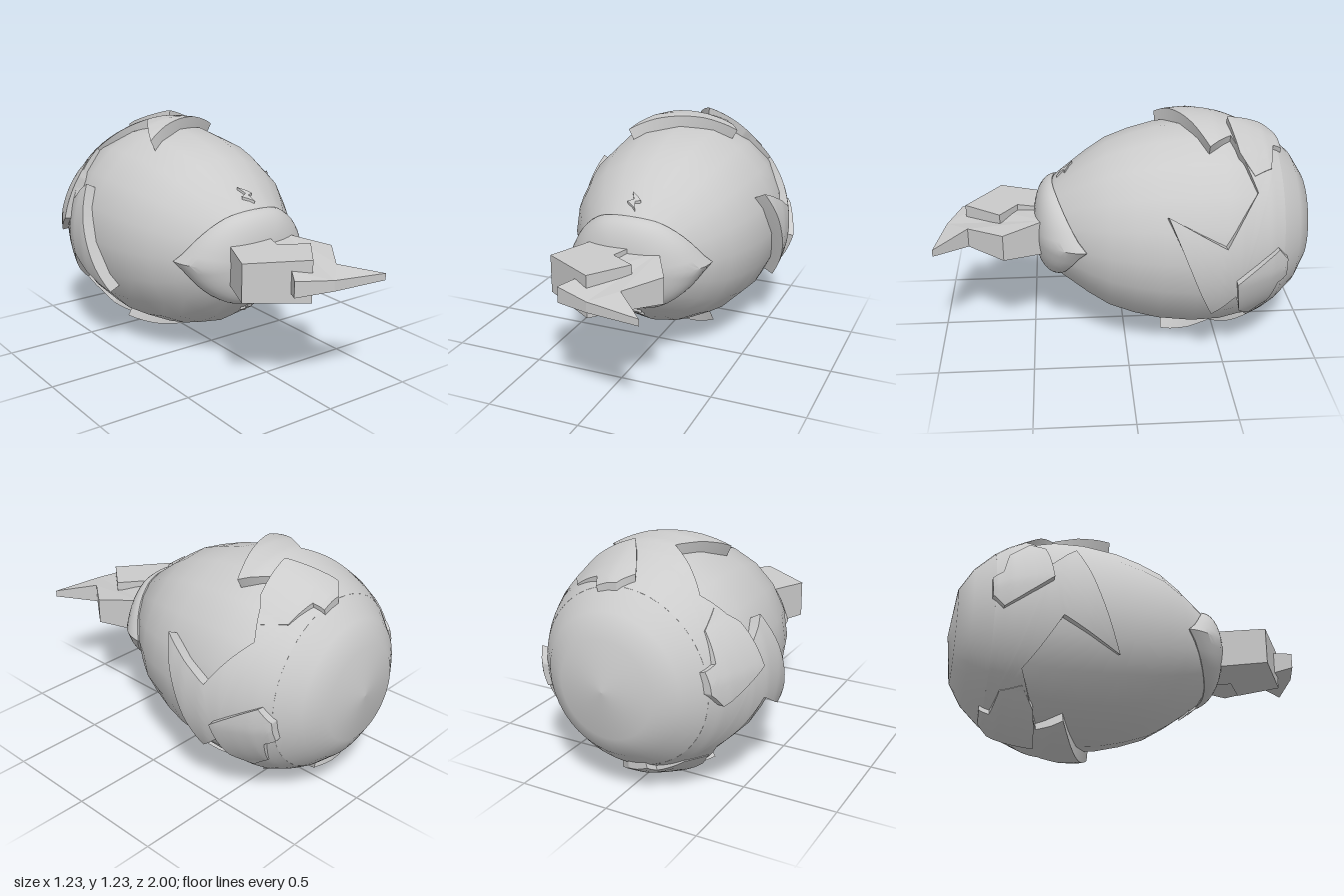
import * as THREE from 'three';
import { toCreasedNormals } from 'three/addons/utils/BufferGeometryUtils.js';

const CY = 0.62; // height of the long axis, which runs along z
const material = () => new THREE.MeshStandardMaterial({ color: 0xcccccc, side: THREE.DoubleSide });

// Profiles as [z, radius], from front to back
const BODY = [[0.47, 0], [0.45, 0.15], [0.36, 0.27], [0.2, 0.39], [0.09, 0.46], [-0.04, 0.507], [-0.17, 0.54],
  [-0.35, 0.56], [-0.5, 0.555], [-0.65, 0.522], [-0.8, 0.43], [-0.9, 0.3], [-0.96, 0]];
const SHELL = [[-0.19, 0.598], [-0.25, 0.61], [-0.35, 0.617], [-0.47, 0.605], [-0.56, 0.577], [-0.65, 0.54],
  [-0.73, 0.503], [-0.8, 0.458], [-0.9, 0.365], [-0.97, 0.25], [-1, 0]];

function radiusAt(profile, z) {
  for (let i = 1; i < profile.length; i++) {
    const [z0, r0] = profile[i - 1], [z1, r1] = profile[i];
    if (z >= z1) return z > z0 ? r0 : r0 + (r1 - r0) * (z0 - z) / (z0 - z1);
  }
  return 0;
}

function lathe(profile, segments) {
  const points = profile.map(([z, r]) => new THREE.Vector2(r, z)).reverse();
  return new THREE.LatheGeometry(points, segments).rotateX(Math.PI / 2).translate(0, CY, 0);
}

// Point at an angle from the top (degrees, towards +x) around the long axis
function around(deg, z, r) {
  const a = THREE.MathUtils.degToRad(deg);
  return [r * Math.sin(a), CY + r * Math.cos(a), z];
}

// Curved plate: an outline of [degrees, z] wrapped on a radius rule, with walls going inwards
function plate(outline, topRadius, lowRadius, turns, levels = 4) {
  const pos = [];
  const contour = outline.map(([a, z]) => new THREE.Vector2(a / 100, z));
  if (THREE.ShapeUtils.isClockWise(contour)) contour.reverse();
  const faces = THREE.ShapeUtils.triangulateShape(contour, []);
  for (const turn of turns) {
    const top = p => around(p.x * 100 + turn, p.y, topRadius(p.x * 100, p.y));
    const low = p => around(p.x * 100 + turn, p.y, lowRadius(p.y));
    const split = (a, b, c, n) => {
      if (n === 0) { pos.push(...top(a), ...top(c), ...top(b)); return; }
      const ab = a.clone().lerp(b, 0.5), bc = b.clone().lerp(c, 0.5), ca = c.clone().lerp(a, 0.5);
      split(a, ab, ca, n - 1); split(ab, b, bc, n - 1);
      split(ca, bc, c, n - 1); split(ab, bc, ca, n - 1);
    };
    faces.forEach(f => split(contour[f[0]], contour[f[1]], contour[f[2]], levels));
    const steps = 2 ** levels;
    contour.forEach((p, i) => {
      const q = contour[(i + 1) % contour.length];
      for (let k = 0; k < steps; k++) {
        const a = p.clone().lerp(q, k / steps), b = p.clone().lerp(q, (k + 1) / steps);
        pos.push(...top(a), ...top(b), ...low(b), ...top(a), ...low(b), ...low(a));
      }
    });
  }
  const geometry = new THREE.BufferGeometry();
  geometry.setAttribute('position', new THREE.Float32BufferAttribute(pos, 3));
  return toCreasedNormals(geometry, 0.7);
}

// Flat piece with an outline of [x, z] and a half height that varies along it
function slab(outline, halfHeight) {
  const shape = new THREE.Shape(outline.map(([x, z]) => new THREE.Vector2(x, z)));
  const geometry = new THREE.ExtrudeGeometry(shape, { depth: 2, bevelEnabled: false })
    .translate(0, 0, -1).rotateX(Math.PI / 2);
  const p = geometry.attributes.position;
  for (let i = 0; i < p.count; i++) {
    p.setY(i, CY + Math.sign(p.getY(i)) * halfHeight(p.getX(i), p.getZ(i)));
  }
  geometry.computeVertexNormals();
  return geometry;
}

// Cap over the narrow end, with a rim that sweeps back to a point on both sides
function capGeometry() {
  const around_ = 48, rings = 12, pos = [], index = [];
  for (let j = 0; j <= rings; j++) {
    const v = Math.max(0, j - 1) / (rings - 1) * Math.PI / 2;
    for (let i = 0; i < around_; i++) {
      const a = i / around_ * Math.PI * 2;
      const rimZ = 0.21 + 0.17 * Math.abs(Math.sin(a)) ** 0.7;
      const rim = radiusAt(BODY, rimZ) + (j === 0 ? -0.02 : 0.008);
      const r = rim * Math.max(0, Math.cos(v)) ** 0.8;
      pos.push(r * Math.cos(a), CY + r * Math.sin(a), rimZ + (0.485 - rimZ) * Math.sin(v));
      if (j < rings) {
        const n = (i + 1) % around_, b = j * around_;
        index.push(b + i, b + n, b + around_ + n, b + i, b + around_ + n, b + around_ + i);
      }
    }
  }
  const geometry = new THREE.BufferGeometry();
  geometry.setAttribute('position', new THREE.Float32BufferAttribute(pos, 3));
  geometry.setIndex(index);
  return toCreasedNormals(geometry, 0.7);
}

export function createModel() {
  const model = new THREE.Group();
  const add = (name, geometry) => {
    const mesh = new THREE.Mesh(geometry, material());
    mesh.name = name;
    model.add(mesh);
  };
  const quarters = [0, 90, 180, 270];
  const bodyRadius = z => radiusAt(BODY, z) - 0.01;
  const shellRadius = (a, z) => radiusAt(SHELL, z);

  // Egg-shaped body and the closed rear of its shell
  add('body', lathe(BODY, 20));
  add('rearShell', lathe(SHELL.filter(([z]) => z <= -0.8), 40));

  // Shell rim with a jagged bolt in each quarter
  add('jaggedShell', plate([[19, -0.54], [29, -0.42], [-26, -0.19], [-10, -0.48], [-38, -0.65],
    [-71, -0.54], [-71, -0.8], [19, -0.8]], shellRadius, bodyRadius, quarters));

  // Raised hooks behind the bolts, fading into the shell on one side
  add('hooks', plate([[8, -0.535], [1, -0.65], [-6, -0.76], [2, -0.815], [16, -0.82], [18, -0.77],
    [36, -0.74], [43, -0.64], [31, -0.57], [19, -0.55]],
  (a, z) => shellRadius(a, z) + 0.004 + 0.033 * THREE.MathUtils.clamp(1 - (a - 8) / 30, 0, 1),
  bodyRadius, quarters));

  // Small zigzag marks above and below the cap
  add('zigzagMarks', plate([[-5, 0.27], [6, 0.31], [1, 0.32], [4, 0.355], [-7, 0.32], [-1, 0.31]],
    (a, z) => radiusAt(BODY, z) + 0.012, bodyRadius, [0, 180], 2));

  add('frontCap', capGeometry());

  // Snout: a thick hooked block and a thinner bolt that tapers to the tip
  add('snoutHook', slab([[-0.19, 0.42], [-0.3, 0.67], [-0.01, 0.85], [0.14, 0.66], [0, 0.57], [0.05, 0.42]],
    (x, z) => 0.1 + 0.017 * THREE.MathUtils.clamp((x + 0.3) / 0.44, 0, 1)));
  add('snoutBolt', slab([[0, 0.42], [0.18, 0.42], [0.3, 0.64], [0.16, 0.83], [0.33, 1], [0.04, 0.95],
    [-0.15, 0.88], [-0.1, 0.8], [0, 0.57]],
  (x, z) => z < 0.8 ? 0.097 - 0.12 * (z - 0.42) : 0.052 - 0.2 * (z - 0.83)));

  return model;
}
